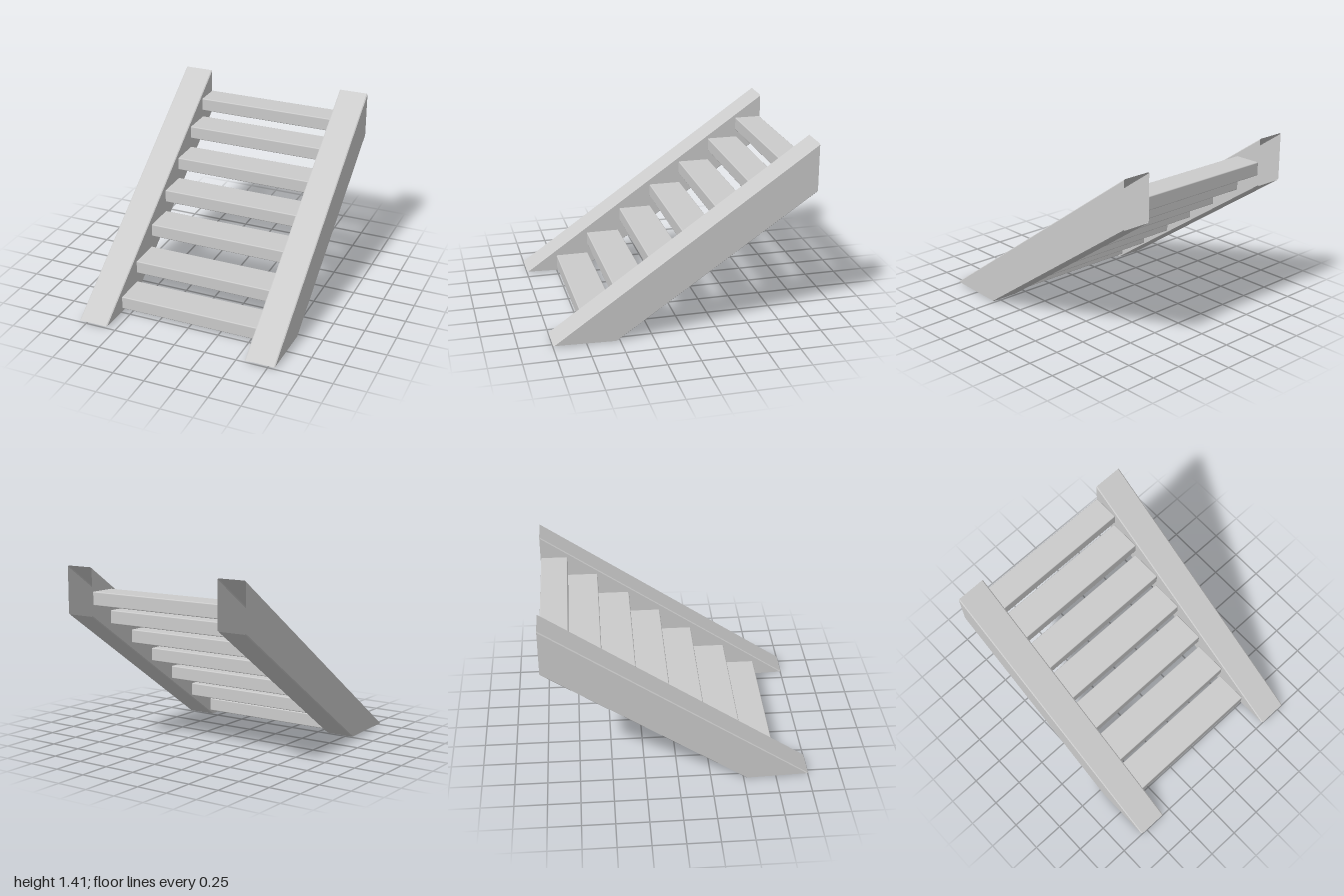
import * as THREE from 'three';
import { RoundedBoxGeometry } from 'three/addons/geometries/RoundedBoxGeometry.js';

const material = new THREE.MeshStandardMaterial({ color: 0xcccccc });
const hollowMaterial = new THREE.MeshStandardMaterial({
  color: 0xcccccc, flatShading: true, side: THREE.DoubleSide,
});

// Hollow sloping beam, open at both ends, with slightly chamfered long edges
function stringerGeometry() {
  const w = 0.1175, c = 0.008, e = 0.02; // half width, chamfer across, chamfer up (0..1)
  const section = [
    [-w + c, 0], [w - c, 0], [w, e], [w, 1 - e],
    [w - c, 1], [-w + c, 1], [-w, 1 - e], [-w, e],
  ];
  // [y, z] of the lower and upper edge at the foot and at the head
  const foot = [[0, 0.52], [0.015, 1]];
  const head = [[1.04, -1], [1.41, -1]];
  const place = ([x, t], [a, b]) => [
    x, THREE.MathUtils.lerp(a[0], b[0], t), THREE.MathUtils.lerp(a[1], b[1], t),
  ];
  const positions = [];
  section.forEach((p, i) => {
    const q = section[(i + 1) % section.length];
    const a = place(p, foot), b = place(p, head);
    const c2 = place(q, head), d = place(q, foot);
    positions.push(...a, ...b, ...c2, ...a, ...c2, ...d);
  });
  const geometry = new THREE.BufferGeometry();
  geometry.setAttribute('position', new THREE.Float32BufferAttribute(positions, 3));
  geometry.computeVertexNormals();
  return geometry;
}

export function createModel() {
  const group = new THREE.Group();
  group.name = 'openStaircase';

  // Side beams
  const beam = stringerGeometry();
  for (const [name, side] of [['leftStringer', 1], ['rightStringer', -1]]) {
    const mesh = new THREE.Mesh(beam, hollowMaterial);
    mesh.name = name;
    mesh.position.x = side * 0.6875;
    group.add(mesh);
  }

  // Treads from top to bottom: [top height, back z, front z]
  const treads = [
    [1.23, -0.995, -0.785], [1.067, -0.8, -0.55], [0.885, -0.555, -0.3],
    [0.703, -0.31, -0.05], [0.515, -0.055, 0.21], [0.323, 0.22, 0.49],
    [0.142, 0.485, 0.75],
  ];
  const thickness = 0.105;
  treads.forEach(([top, back, front], i) => {
    const geometry = new RoundedBoxGeometry(1.136, thickness, front - back, 2, 0.008);
    const mesh = new THREE.Mesh(geometry, material);
    mesh.name = `tread${i + 1}`;
    mesh.position.set(0, top - thickness / 2, (front + back) / 2);
    group.add(mesh);
  });

  return group;
}
